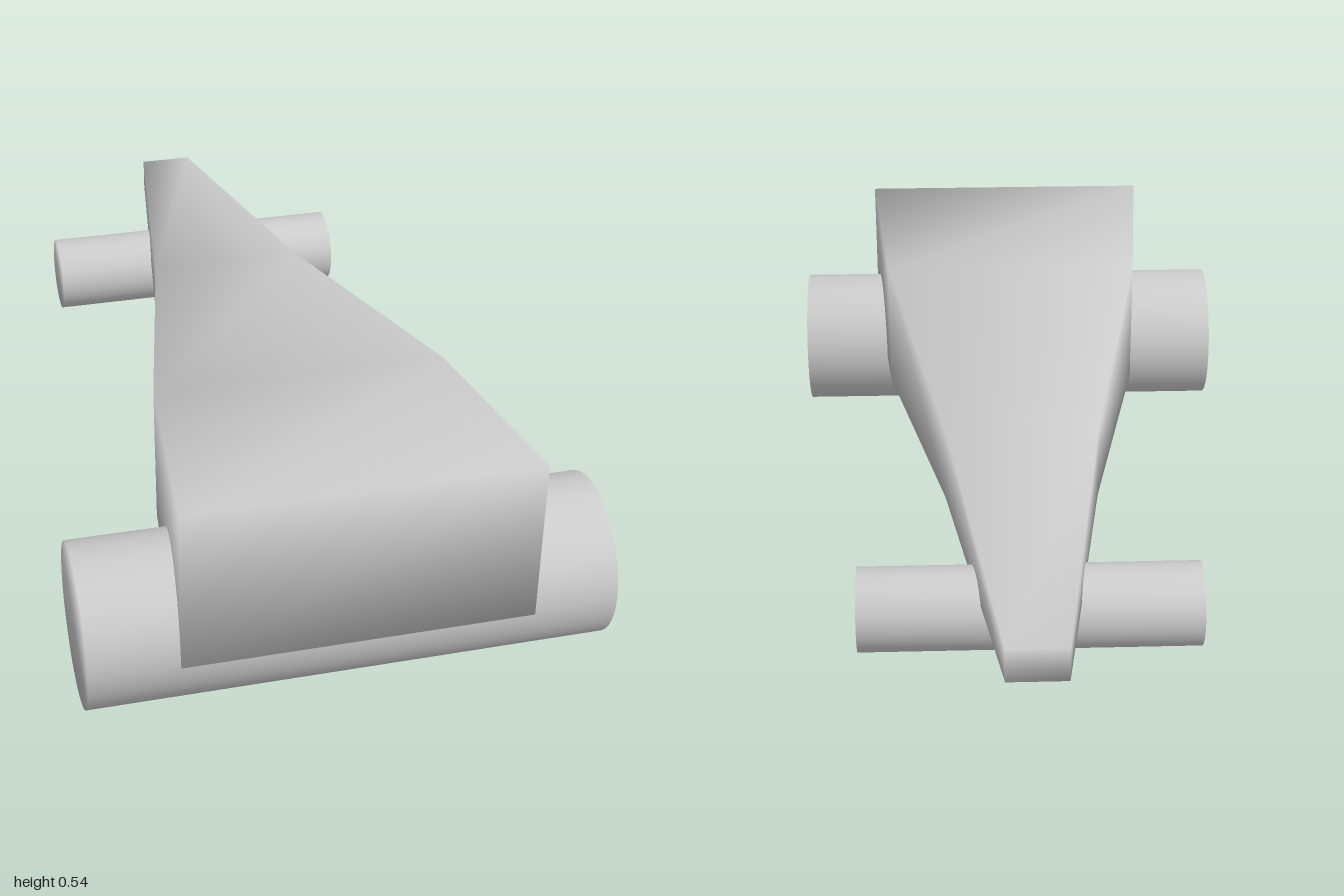
import * as THREE from 'three';
import { mergeVertices } from 'three/addons/utils/BufferGeometryUtils.js';

const material = new THREE.MeshStandardMaterial({ color: 0xcccccc });

// Tapered body: rectangular sections [z, half width, bottom, top], wide front to narrow tail
function bodyGeometry() {
  const sections = [
    [1, 0.362, 0.174, 0.535],
    [0.5, 0.315, 0.179, 0.49],
    [-0.22, 0.175, 0.213, 0.387],
    [-1, 0.063, 0.228, 0.303],
  ];
  const positions = [];
  const index = [];
  sections.forEach(([z, w, bottom, top], i) => {
    positions.push(-w, bottom, z, w, bottom, z, w, top, z, -w, top, z);
    if (i === sections.length - 1) return;
    for (let j = 0; j < 4; j++) {
      const a = i * 4 + j;
      const b = i * 4 + ((j + 1) % 4);
      index.push(a, a + 4, b, b, a + 4, b + 4);
    }
  });
  // End caps share the corners, so shading stays smooth
  const last = (sections.length - 1) * 4;
  index.push(0, 1, 2, 0, 2, 3, last, last + 2, last + 1, last, last + 3, last + 2);
  const geometry = new THREE.BufferGeometry();
  geometry.setAttribute('position', new THREE.Float32BufferAttribute(positions, 3));
  geometry.setIndex(index);
  geometry.computeVertexNormals();
  return geometry;
}

// Roller lying along x, with smoothed rims
function roller(name, radius, width, y, z) {
  let geometry = new THREE.CylinderGeometry(radius, radius, width, 48);
  geometry.rotateZ(Math.PI / 2);
  geometry.deleteAttribute('normal');
  geometry.deleteAttribute('uv');
  geometry = mergeVertices(geometry, 1e-4);
  geometry.computeVertexNormals();
  const mesh = new THREE.Mesh(geometry, material);
  mesh.name = name;
  mesh.position.set(0, y, z);
  return mesh;
}

export function createModel() {
  const model = new THREE.Group();
  model.name = 'wedgeCar';

  const body = new THREE.Mesh(bodyGeometry(), material);
  body.name = 'body';
  model.add(body);

  model.add(roller('frontRoller', 0.17, 1.088, 0.17, 0.817));
  model.add(roller('rearRoller', 0.09, 0.725, 0.174, -0.637));
  return model;
}
